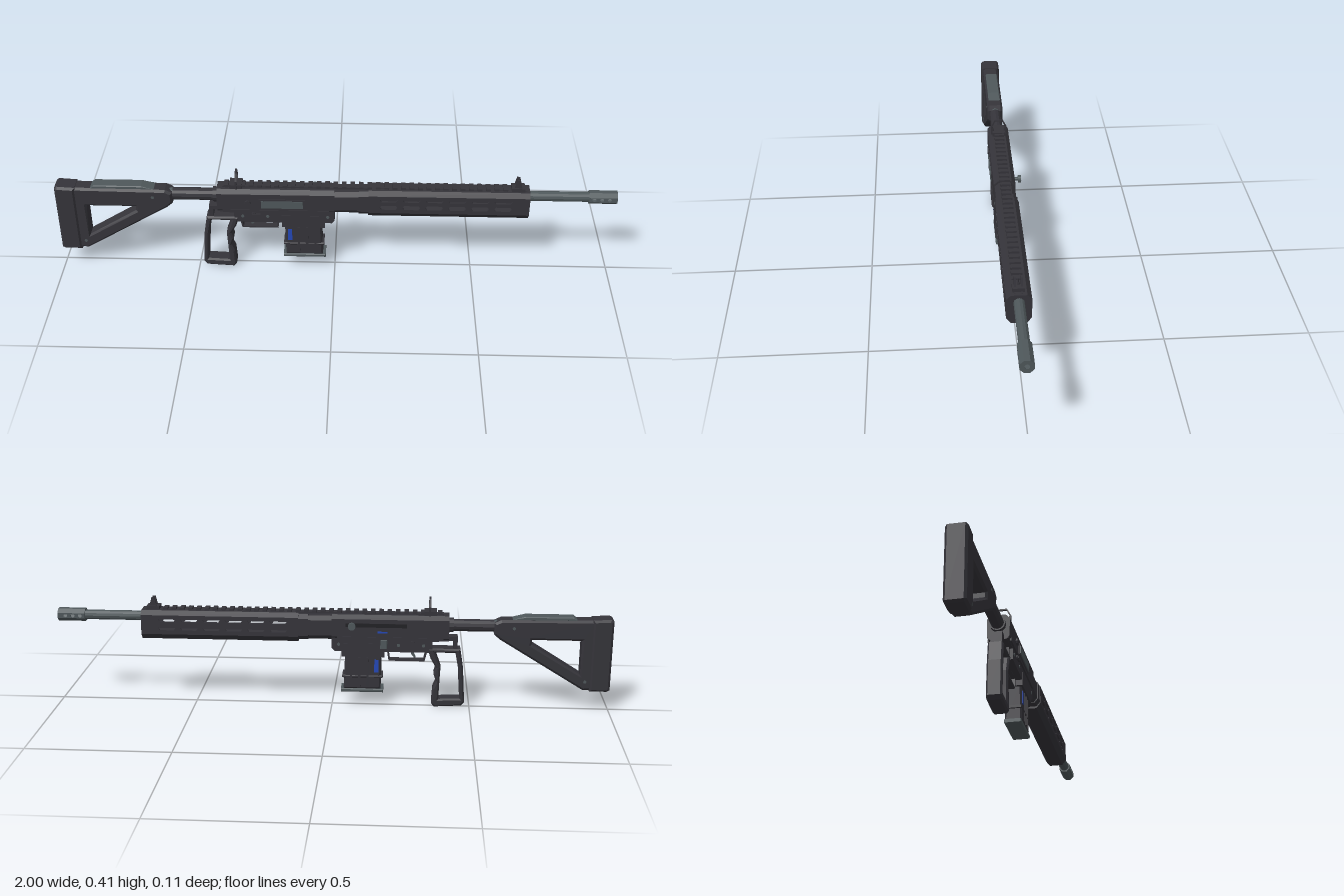
import * as THREE from 'three';

export function createModel() {
  const mat = (name, color) => {
    const m = new THREE.MeshStandardMaterial({ color });
    m.name = name;
    return m;
  };
  const dark = mat('charcoal', 0x35343a);
  const steel = mat('steel grey', 0x4f585b);
  const black = mat('near black', 0x212125);
  const blue = mat('blue', 0x2448b8);

  const model = new THREE.Group();
  model.name = 'model';
  const body = new THREE.Group();
  body.name = 'body';
  body.position.z = 0.009;
  model.add(body);

  // Faceted mesh: every face keeps its own normal
  function add(name, geo, material) {
    const g = geo.index ? geo.toNonIndexed() : geo;
    g.computeVertexNormals();
    const mesh = new THREE.Mesh(g, material);
    mesh.name = name;
    body.add(mesh);
    return mesh;
  }
  const shapeOf = (pts, holes = []) => {
    const s = new THREE.Shape(pts.map(p => new THREE.Vector2(...p)));
    for (const h of holes) s.holes.push(new THREE.Path(h.map(p => new THREE.Vector2(...p))));
    return s;
  };
  const rect = (x0, x1, y0, y1) => [[x0, y0], [x1, y0], [x1, y1], [x0, y1]];
  const circle = (x, y, r, n = 8) => Array.from({ length: n }, (_, i) => {
    const a = (i + 0.5) / n * Math.PI * 2;
    return [x + r * Math.cos(a), y + r * Math.sin(a)];
  });
  // Side outline given a width across z, with optional chamfered rims
  function slab(name, pts, width, material, holes = [], c = 0, z = 0) {
    const geo = new THREE.ExtrudeGeometry(shapeOf(pts, holes), {
      depth: width - 2 * c, bevelEnabled: c > 0, bevelSize: c, bevelThickness: c,
      bevelOffset: -c, bevelSegments: 1,
    });
    return add(name, geo.translate(0, 0, z - width / 2 + c), material);
  }
  // Cross-section in (z, y) swept along x
  function sweep(name, pts, x0, x1, material, holes = []) {
    const geo = new THREE.ExtrudeGeometry(shapeOf(pts, holes), { depth: x1 - x0, bevelEnabled: false });
    return add(name, geo.rotateY(Math.PI / 2).translate(x0, 0, 0), material);
  }
  const box = (name, x0, x1, y0, y1, z0, z1, material) => add(name,
    new THREE.BoxGeometry(x1 - x0, y1 - y0, z1 - z0).translate((x0 + x1) / 2, (y0 + y1) / 2, (z0 + z1) / 2), material);
  const rodX = (name, x0, x1, y, r, material, n = 12) => add(name,
    new THREE.CylinderGeometry(r, r, x1 - x0, n).rotateZ(Math.PI / 2).translate((x0 + x1) / 2, y, 0), material);
  const rodZ = (name, x, y, z0, z1, r, material, n = 12) => add(name,
    new THREE.CylinderGeometry(r, r, z1 - z0, n).rotateX(Math.PI / 2).translate(x, y, (z0 + z1) / 2), material);
  // Body section with chamfered top and bottom corners
  const section = (w, y0, y1, cb, ct) => [
    [w - cb, y0], [w, y0 + cb * 1.3], [w, y1 - ct], [w - ct, y1],
    [ct - w, y1], [-w, y1 - ct], [-w, y0 + cb * 1.3], [cb - w, y0]];

  // Barrel and muzzle
  rodX('barrel', 0.68, 0.905, 0.32, 0.018, steel);
  const half = 0.0225, side = half * Math.tan(Math.PI / 8);
  for (let i = 0; i < 8; i++) {
    const holes = i % 4 === 0 ? [0.918, 0.945, 0.972].map(x => circle(x, 0, 0.0075)) : [];
    const plate = slab('muzzlePlate', rect(0.9, 1, -side, side), 0.003, steel, holes, 0, half - 0.0015);
    plate.geometry.rotateX(i * Math.PI / 4).translate(0, 0.32, 0);
  }
  const capRim = circle(0, 0.32, half / Math.cos(Math.PI / 8));
  sweep('muzzleCap', capRim, 0.994, 1, steel, [circle(0, 0.32, 0.009)]);
  sweep('muzzleRear', capRim, 0.9, 0.904, steel);

  // Hollow handguard with two rows of slots
  const slots = [];
  for (const y of [0.318, 0.286]) {
    for (let i = 0; i < 6; i++) {
      const a = 0.16 + i * 0.081, b = a + 0.063, h = 0.0085;
      slots.push([[a, y], [a + 0.006, y - h], [b - 0.006, y - h], [b, y], [b - 0.006, y + h], [a + 0.006, y + h]]);
    }
  }
  for (const s of [-1, 1]) slab('handguardSide', rect(0.12, 0.69, 0.262, 0.333), 0.006, dark, slots, 0, s * 0.038);
  sweep('handguardTop', [[0.041, 0.333], [0.026, 0.348], [-0.026, 0.348], [-0.041, 0.333]], 0.12, 0.69, dark);
  sweep('handguardBottom', [[-0.041, 0.262], [-0.026, 0.242], [0.026, 0.242], [0.041, 0.262]], 0.12, 0.69, dark);
  for (const x of [0.12, 0.68]) box('handguardEnd', x, x + 0.01, 0.262, 0.333, -0.036, 0.036, dark);

  // Receiver
  sweep('upperReceiver', section(0.039, 0.252, 0.345, 0.01, 0.014), -0.42, 0, dark);
  sweep('barrelNut', section(0.036, 0.252, 0.338, 0.012, 0.014), 0, 0.12, dark);
  sweep('nutCollar', section(0.039, 0.25, 0.343, 0.012, 0.014), 0.085, 0.12, dark);
  slab('lowerReceiver', [[-0.35, 0.21], [-0.01, 0.21], [0, 0.222], [0, 0.262], [-0.42, 0.262], [-0.42, 0.255], [-0.35, 0.25]], 0.07, dark);
  box('magazineWell', -0.19, -0.035, 0.19, 0.24, -0.036, 0.036, dark);
  box('sideRidge', -0.4, -0.02, 0.255, 0.266, -0.041, 0.041, dark);

  // Ejection port, bolt slot and charging handle
  box('portFrame', -0.27, -0.105, 0.27, 0.312, 0.036, 0.042, dark);
  box('portCover', -0.262, -0.113, 0.277, 0.306, 0.036, 0.045, steel);
  box('boltSlot', -0.27, -0.05, 0.302, 0.316, -0.0405, -0.037, black);
  rodZ('handleStem', -0.073, 0.31, -0.056, -0.036, 0.006, steel);
  rodZ('handleKnob', -0.073, 0.31, -0.064, -0.053, 0.0135, steel);
  slab('boltCatch', rect(-0.2, -0.175, 0.222, 0.258), 0.008, steel, [], 0.002, -0.038);
  box('selectorMark', -0.2, -0.165, 0.281, 0.287, -0.041, -0.038, blue);
  for (const x of [-0.33, -0.24, -0.025]) rodZ('pin', x, 0.236, -0.037, 0.037, 0.006, steel, 8);
  rodZ('selector', -0.29, 0.245, -0.041, 0.041, 0.008, dark, 8);
  box('selectorLever', -0.295, -0.265, 0.241, 0.249, 0.036, 0.043, dark);
  rodZ('forwardKnob', -0.31, 0.295, 0.03, 0.045, 0.012, dark, 8);

  // Top rail
  box('railBase', -0.4, 0.68, 0.343, 0.349, -0.013, 0.013, dark);
  for (let x = -0.395; x < 0.67; x += 0.03) box('railTooth', x, x + 0.016, 0.347, 0.356, -0.018, 0.018, dark);

  // Rear sight: open six-sided hoop
  sweep('rearSight',
    [[-0.029, 0.345], [0.029, 0.345], [0.029, 0.378], [0.015, 0.405], [-0.015, 0.405], [-0.029, 0.378]],
    -0.354, -0.347, dark,
    [[[-0.018, 0.36], [0.018, 0.36], [0.024, 0.378], [0.0125, 0.4], [-0.0125, 0.4], [-0.024, 0.378]]]);
  box('rearSightBase', -0.375, -0.33, 0.345, 0.36, -0.024, 0.024, dark);
  // Front sight: post between two ears
  box('frontSightBase', 0.625, 0.672, 0.348, 0.361, -0.02, 0.02, dark);
  for (const s of [-1, 1]) {
    slab('frontSightEar', [[0.635, 0.358], [0.662, 0.358], [0.654, 0.391], [0.643, 0.391]], 0.006, dark, [], 0, s * 0.011);
  }
  add('frontSightPost', new THREE.CylinderGeometry(0.0015, 0.004, 0.025, 6).translate(0.648, 0.371, 0), dark);

  // Trigger and its guard
  slab('triggerGuard', [[-0.345, 0.212], [-0.335, 0.17], [-0.205, 0.17], [-0.198, 0.212]], 0.026, dark,
    [[[-0.338, 0.209], [-0.33, 0.175], [-0.209, 0.175], [-0.204, 0.209]]]);
  slab('trigger', [[-0.3, 0.212], [-0.282, 0.212], [-0.286, 0.195], [-0.296, 0.182], [-0.303, 0.182], [-0.296, 0.196]], 0.012, steel);

  // Magazine
  slab('magazine', [[-0.18, 0.2], [-0.177, 0.065], [-0.043, 0.065], [-0.048, 0.2]], 0.06, dark, [], 0.006);
  slab('magazineBand', [[-0.185, 0.118], [-0.185, 0.108], [-0.038, 0.108], [-0.038, 0.118]], 0.064, dark, [], 0.003);
  slab('magazineBase', rect(-0.187, -0.033, 0.053, 0.066), 0.062, steel, [], 0.003);
  for (const s of [-1, 1]) {
    box('magazineWindow', -0.169, -0.154, 0.13, 0.178, s * 0.0305 - 0.001, s * 0.0305 + 0.001, blue);
    for (const x of [-0.13, -0.1, -0.07]) {
      box('magazineRib', x - 0.004, x + 0.004, 0.075, 0.185, s * 0.0305 - 0.002, s * 0.0305 + 0.002, dark);
    }
  }

  // Skeleton grip, held by tabs at front and rear
  slab('grip',
    [[-0.462, 0.222], [-0.474, 0.15], [-0.482, 0.02], [-0.47, 0.006], [-0.372, 0], [-0.362, 0.012], [-0.366, 0.07],
      [-0.378, 0.098], [-0.368, 0.125], [-0.376, 0.15], [-0.356, 0.185], [-0.345, 0.222]], 0.054, dark,
    [[[-0.445, 0.207], [-0.456, 0.15], [-0.464, 0.034], [-0.388, 0.03], [-0.39, 0.09], [-0.393, 0.15], [-0.372, 0.207]]], 0.006);
  box('gripRearTab', -0.452, -0.437, 0.215, 0.262, -0.02, 0.02, dark);
  box('gripRearBridge', -0.452, -0.41, 0.252, 0.266, -0.02, 0.02, dark);
  box('gripFrontTab', -0.362, -0.34, 0.205, 0.255, -0.024, 0.024, dark);

  // Stock tube and triangular stock
  rodX('stockTube', -0.6, -0.42, 0.306, 0.022, steel);
  rodX('tubeSleeve', -0.58, -0.435, 0.306, 0.0225, dark);
  rodX('tubeCollar', -0.436, -0.415, 0.306, 0.027, dark);
  slab('stockFrame',
    [[-0.94, 0.338], [-0.94, 0.08], [-0.905, 0.076], [-0.6, 0.262], [-0.58, 0.28], [-0.58, 0.322], [-0.605, 0.334]], 0.06, dark,
    [[[-0.892, 0.262], [-0.892, 0.135], [-0.715, 0.245], [-0.715, 0.262]]], 0.008);
  slab('buttPad', [[-1, 0.338], [-1, 0.08], [-0.99, 0.074], [-0.927, 0.074], [-0.927, 0.34], [-0.99, 0.344]], 0.072, dark, [], 0.008);
  slab('cheekRest', [[-0.875, 0.335], [-0.86, 0.347], [-0.69, 0.347], [-0.645, 0.335]], 0.046, steel, [], 0.003);
  for (const [x, y] of [[-0.65, 0.305], [-0.91, 0.11]]) rodZ('stockPin', x, y, -0.031, 0.031, 0.006, steel, 8);

  return model;
}
